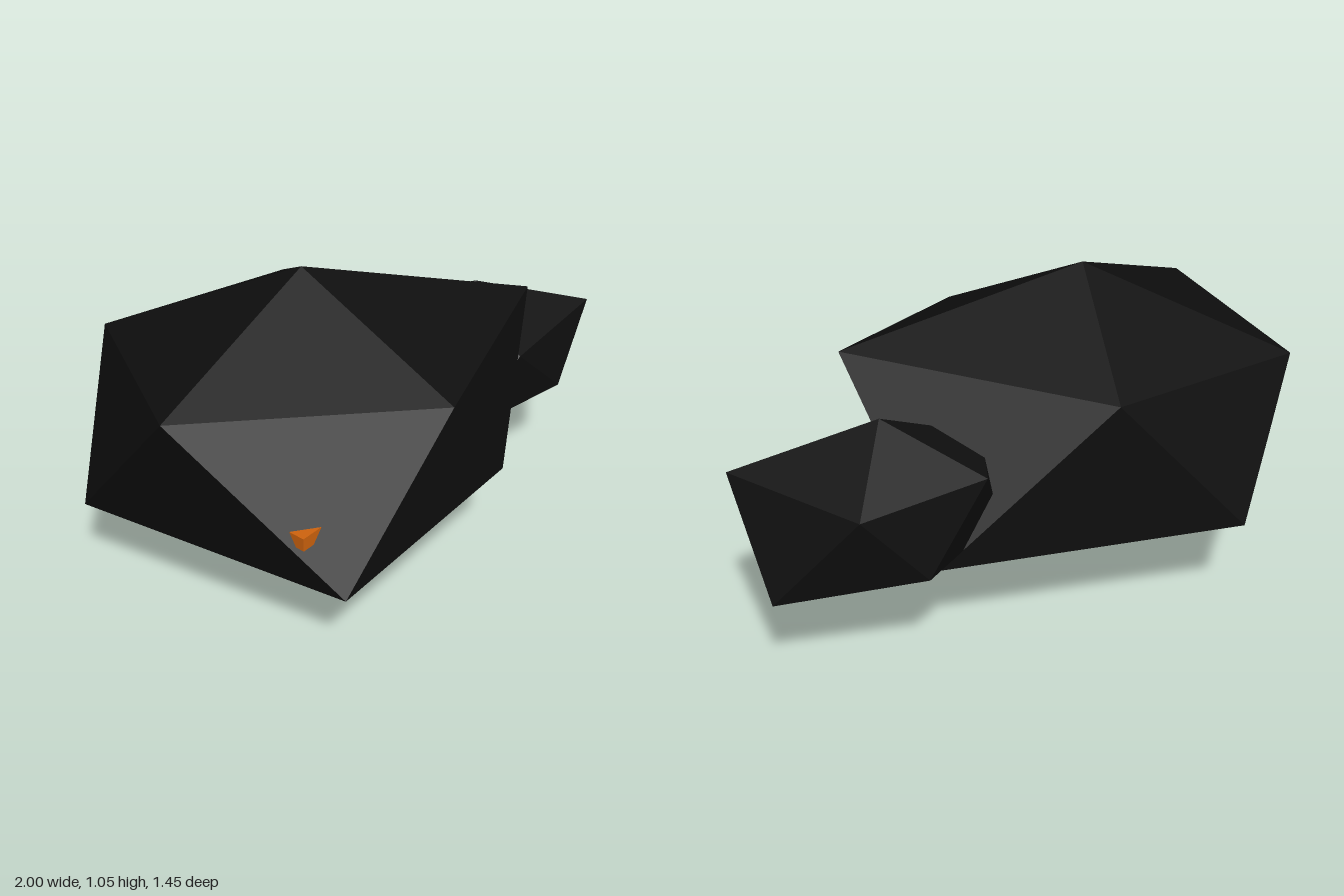
import * as THREE from 'three';

const coal = new THREE.MeshStandardMaterial({ name: 'coal black', color: 0x0e0e0e, flatShading: true });
const ember = new THREE.MeshStandardMaterial({ name: 'ember orange', color: 0xd0640e });

// Twenty-sided rock: two poles and a zigzag belt alternating low, high corners
// (the belt runs left, back, right, front).
function rock(name, top, bottom, belt) {
  const tris = [];
  const n = belt.length;
  for (let i = 0; i < n; i++) {
    const a = belt[i], b = belt[(i + 1) % n], c = belt[(i + 2) % n];
    if (i % 2 === 0) tris.push(a, b, c, bottom, a, c);
    else tris.push(a, c, b, top, c, a);
  }
  const geometry = new THREE.BufferGeometry();
  geometry.setAttribute('position', new THREE.Float32BufferAttribute(tris.flat(), 3));
  geometry.computeVertexNormals();
  const mesh = new THREE.Mesh(geometry, coal);
  mesh.name = name;
  return mesh;
}

export function createModel() {
  const group = new THREE.Group();
  group.name = 'rocks';

  group.add(rock('largeRock', [-0.22, 1.05, -0.04], [-0.22, 0, -0.04], [
    [-1, 0.31, 0.01], [-0.84, 0.78, -0.36],
    [-0.59, 0.31, -0.62], [-0.15, 0.78, -0.615],
    [0.4, 0.28, -0.57], [0.61, 0.84, -0.09],
    [0.39, 0.35, 0.28], [0.11, 0.775, 0.51],
    [-0.3, 0.285, 0.72], [-0.77, 0.83, 0.44],
  ]));

  group.add(rock('smallRock', [0.54, 0.735, -0.4], [0.54, 0.2, -0.4], [
    [0.17, 0.35, -0.42], [0.26, 0.6, -0.615],
    [0.46, 0.335, -0.7], [0.66, 0.57, -0.725],
    [0.915, 0.29, -0.64], [1, 0.605, -0.37],
    [0.82, 0.345, -0.2], [0.6, 0.56, -0.09],
    [0.38, 0.31, -0.04], [0.2, 0.6, -0.3],
  ]));

  // Small block whose corner pokes out of the front face
  const chip = new THREE.Mesh(new THREE.BoxGeometry(0.1, 0.045, 0.08), ember);
  chip.name = 'emberChip';
  chip.position.set(-0.39, 0.478, 0.599);
  chip.rotation.y = 0.57;
  group.add(chip);

  return group;
}
